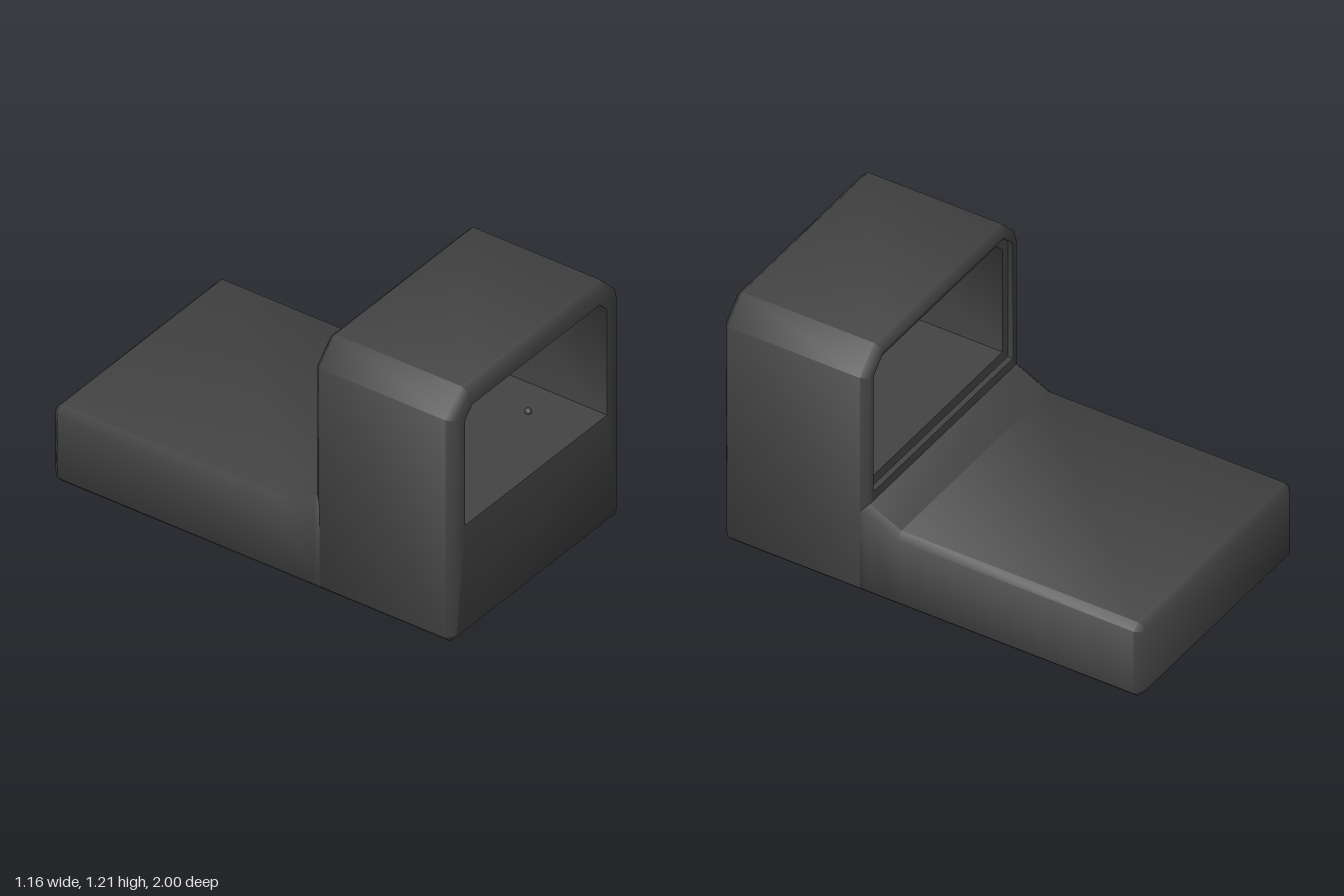
import * as THREE from 'three';
import { toCreasedNormals } from 'three/addons/utils/BufferGeometryUtils.js';

const HALF = 0.58;  // half width of the body
const BEVEL = 0.03; // edge bevel

// Eight-sided section at depth z, counter-clockwise from the front; cb and ct chamfer the lower and upper corners.
function section(z, w, y0, y1, cb, ct) {
  return [
    [-w + cb, y0, z], [w - cb, y0, z], [w, y0 + cb, z], [w, y1 - ct, z],
    [w - ct, y1, z], [-w + ct, y1, z], [-w, y1 - ct, z], [-w, y0 + cb, z],
  ];
}

// Body section resting on the ground, optionally shrunk by the bevel
function outer(z, top, ct, inset = 0) {
  const k = inset * (2 - Math.SQRT2);
  return section(z, HALF - inset, inset, top - inset, BEVEL - k, ct - k);
}

// Skin a list of sections; capStart closes the first one
function loft(rings, capStart) {
  const n = rings[0].length;
  const index = [];
  for (let r = 0; r < rings.length - 1; r++) {
    for (let i = 0; i < n; i++) {
      const a = r * n + i, b = r * n + (i + 1) % n;
      index.push(a, b, b + n, a, b + n, a + n);
    }
  }
  if (capStart) for (let i = 1; i < n - 1; i++) index.push(0, i + 1, i);
  const geo = new THREE.BufferGeometry();
  geo.setAttribute('position', new THREE.Float32BufferAttribute(rings.flat(2), 3));
  geo.setIndex(index);
  return toCreasedNormals(geo, THREE.MathUtils.degToRad(50));
}

export function createModel() {
  const group = new THREE.Group();
  const charcoal = new THREE.MeshStandardMaterial({ color: 0x444444 });
  charcoal.name = 'charcoal';
  const add = (name, geo) => {
    const mesh = new THREE.Mesh(geo, charcoal);
    mesh.name = name;
    group.add(mesh);
    return mesh;
  };

  // Low rear deck with a short ramp up to the cabin
  add('deck', loft([
    outer(-1, 0.375, BEVEL, BEVEL),
    outer(-0.97, 0.375, BEVEL),
    outer(0.16, 0.375, BEVEL),
    outer(0.31, 0.45, BEVEL),
    outer(0.34, 0.45, BEVEL),
  ], true));

  // Cabin: outer skin, front face, through opening, rear recess and rear face
  const top = 1.205, corner = 0.108;
  add('cabin', loft([
    outer(0.34, top, corner),
    outer(0.97, top, corner),
    outer(1, top, corner, BEVEL),
    section(1, 0.486, 0.543, 1.11, 0, 0.05),
    section(0.335, 0.486, 0.543, 1.11, 0, 0.05),
    section(0.335, 0.525, 0.495, 1.15, 0, 0.07),
    section(0.31, 0.525, 0.495, 1.15, 0, 0.07),
    outer(0.31, top, corner, BEVEL),
    outer(0.34, top, corner),
  ], false));

  // Tiny bead in the middle of the opening
  add('bead', new THREE.SphereGeometry(0.016, 10, 8)).position.set(0, 0.816, 0.96);

  return group;
}
